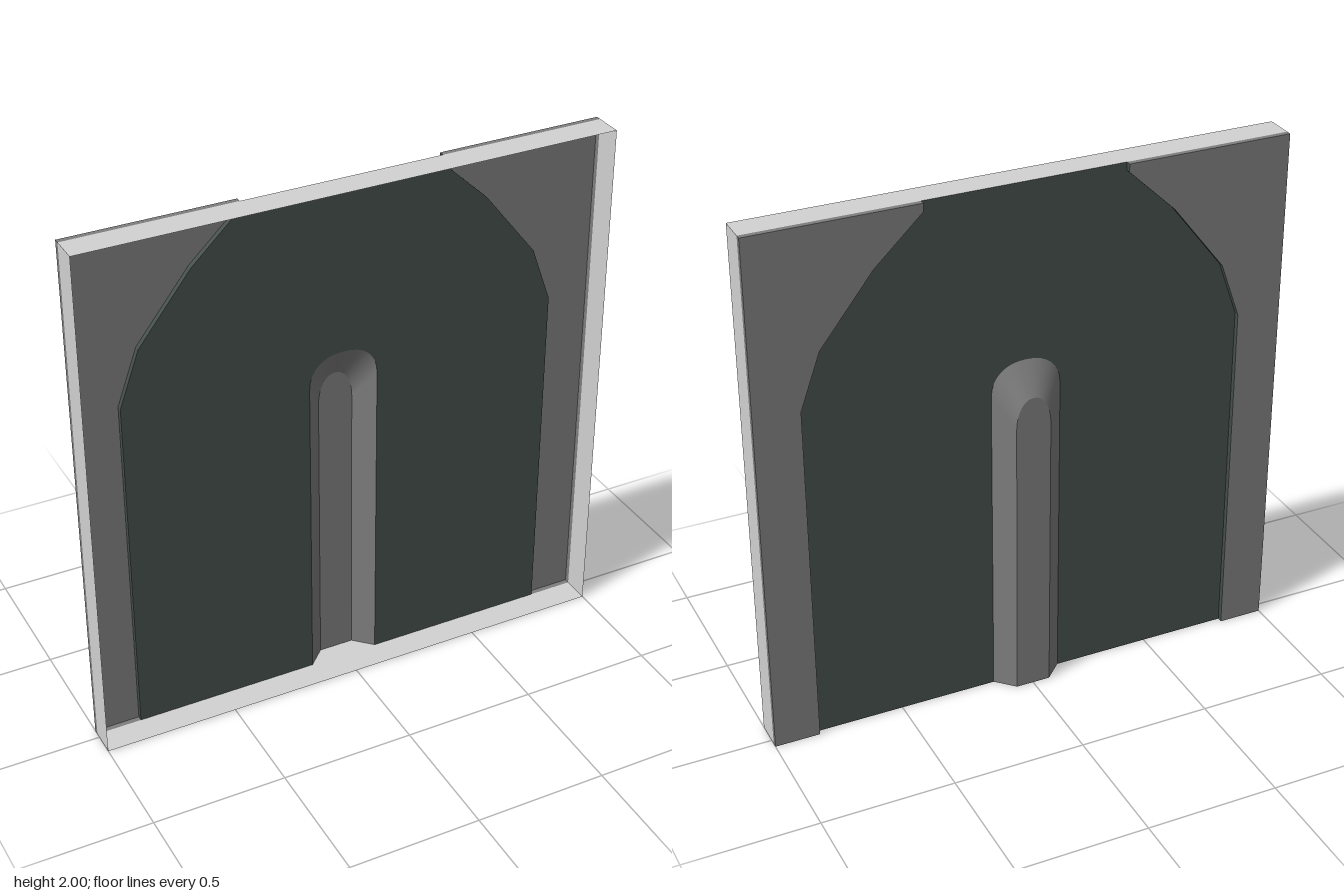
import * as THREE from 'three';

const FRONT = 0.085, SHEET = -0.02, CORNER = -0.04, RIB = -0.085;

function material(name, color) {
  const m = new THREE.MeshStandardMaterial({ color, side: THREE.DoubleSide });
  m.name = name;
  return m;
}

// Thin strip joining two matching outlines at two depths
function strip(a, za, b, zb, smooth = false) {
  const pos = [], index = [];
  a.forEach(([x, y], i) => pos.push(x, y, za, b[i][0], b[i][1], zb));
  for (let i = 0; i < a.length - 1; i++) {
    const k = i * 2;
    index.push(k, k + 1, k + 2, k + 2, k + 1, k + 3);
  }
  let g = new THREE.BufferGeometry();
  g.setAttribute('position', new THREE.Float32BufferAttribute(pos, 3));
  g.setIndex(index);
  if (!smooth) g = g.toNonIndexed();
  g.computeVertexNormals();
  return g;
}

// Flat sheet facing the back
function sheet(points, z) {
  const g = new THREE.ShapeGeometry(new THREE.Shape(points.map(([x, y]) => new THREE.Vector2(x, y))));
  g.translate(0, 0, z);
  return g;
}

// Arched outline of the rib, from bottom right over the top to bottom left
function arch(halfWidth, spring, rise, power) {
  const points = [[halfWidth, 0]];
  for (let i = 0; i <= 16; i++) {
    const t = (i / 16) * Math.PI, c = Math.cos(t), s = Math.sin(t);
    points.push([
      halfWidth * Math.sign(c) * Math.pow(Math.abs(c), power),
      spring + rise * Math.pow(Math.max(s, 0), power),
    ]);
  }
  points.push([-halfWidth, 0]);
  return points;
}

export function createModel() {
  const group = new THREE.Group();
  const light = material('light grey', 0xd2d2d2);
  const grey = material('mid grey', 0x7e7e7e);
  const dark = material('dark green grey', 0x454f4a);
  const add = (name, geometry, mat) => {
    const mesh = new THREE.Mesh(geometry, mat);
    mesh.name = name;
    group.add(mesh);
  };
  const mirror = (points) => points.map(([x, y]) => [-x, y]);

  // Open frame around the edge
  const square = [[-1, 0], [1, 0], [1, 2], [-1, 2], [-1, 0]];
  add('frame', strip(square, FRONT, square, SHEET), light);

  // Main sheet, cut out around the rib
  const edge = [[0.83, 0], [0.83, 1.335], [0.755, 1.545], [0.555, 1.8], [0.375, 1.97], [0.375, 2]];
  const outer = arch(0.132, 1.21, 0.125, 0.88);
  const inner = arch(0.066, 1.1, 0.115, 0.95);
  add('mainSheet', sheet([...edge, ...mirror(edge).reverse(), ...outer.slice().reverse()], SHEET), dark);

  // Raised side panels with their steps and outer edges
  for (const [side, e] of [['left', edge], ['right', mirror(edge)]]) {
    const x = side === 'left' ? 1 : -1;
    const rim = [e[5], [x, 2], [x, 0], e[0]];
    add(side + 'Panel', sheet([...e, [x, 2], [x, 0]], CORNER), grey);
    add(side + 'Step', strip(e, SHEET, e, CORNER), dark);
    add(side + 'PanelEdge', strip(rim, SHEET, rim, CORNER), grey);
  }

  // Hollow tapered rib
  add('ribSlope', strip(outer, SHEET, inner, RIB, true), grey);
  add('ribFace', sheet(inner, RIB), grey);
  add('ribFoot', strip([[-0.132, 0], [0.132, 0]], SHEET, [[-0.066, 0], [0.066, 0]], RIB), light);

  return group;
}
